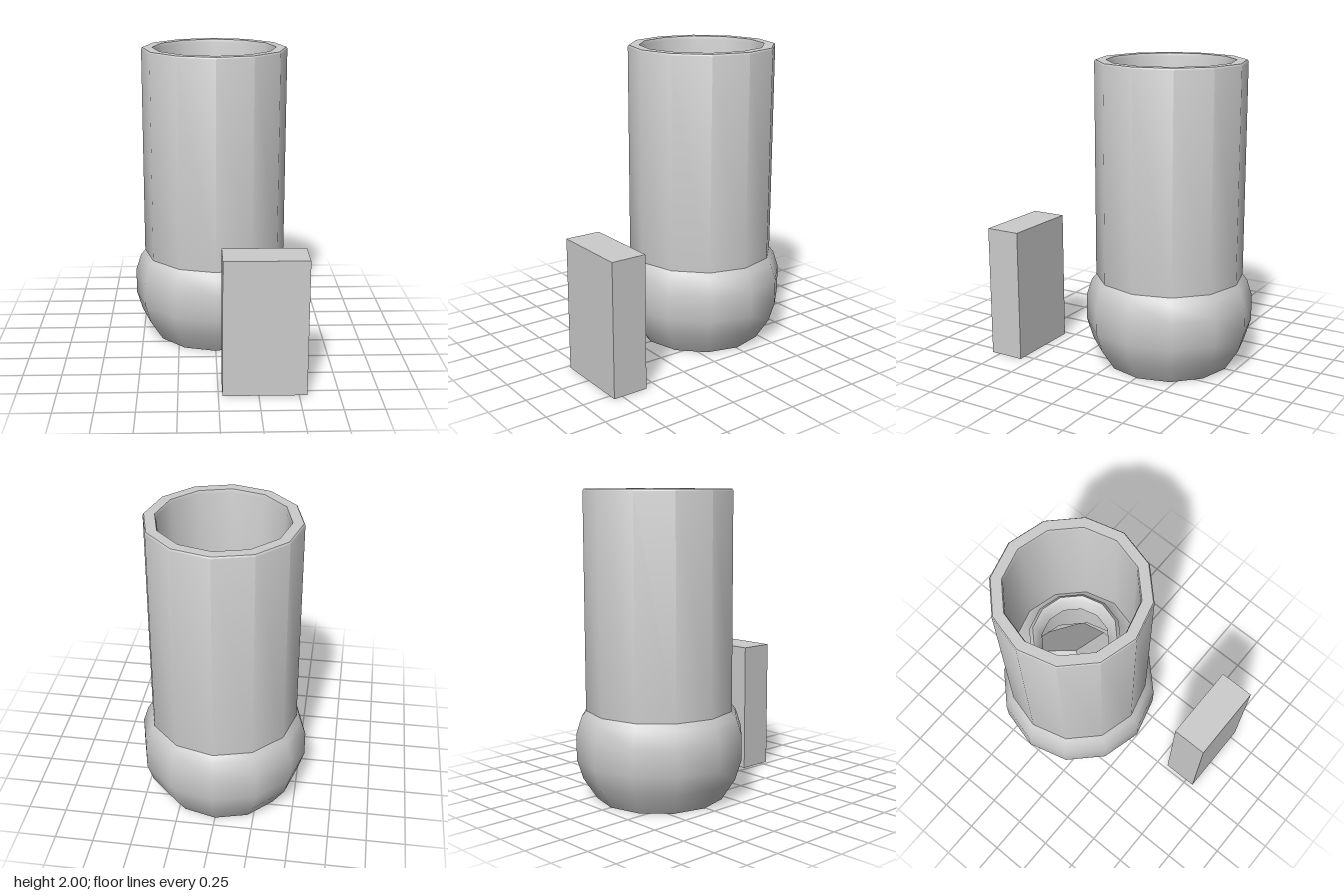
import * as THREE from 'three';
import { toCreasedNormals } from 'three/addons/utils/BufferGeometryUtils.js';

const SIDES = 12;

export function createModel() {
  const model = new THREE.Group();
  const grey = new THREE.MeshStandardMaterial({ color: 0xcccccc });
  const facet = new THREE.MeshStandardMaterial({ color: 0xcccccc, flatShading: true });

  const add = (parent, name, geometry, material = grey) => {
    const mesh = new THREE.Mesh(geometry, material);
    mesh.name = name;
    parent.add(mesh);
    return mesh;
  };
  // Twelve-sided turned part, smooth around, sharp at strong profile corners
  const turned = (profile) => toCreasedNormals(
    new THREE.LatheGeometry(profile.map(([r, y]) => new THREE.Vector2(r, y)), SIDES), 0.65);

  const vessel = new THREE.Group();
  vessel.name = 'vessel';
  vessel.position.z = -0.26;
  model.add(vessel);

  // Bulbous bottle: flat foot, bulb, body, shoulder, lip and hollow inside
  add(vessel, 'bottle', turned([
    [0, 0], [0.42, 0], [0.51, 0.14], [0.55, 0.27], [0.55, 0.44], [0.515, 0.55], [0.482, 0.59],
    [0.482, 1.1], [0.4, 1.12], [0.33, 1.18], [0.27, 1.24], [0.3, 1.27], [0.3, 1.3], [0.275, 1.33],
    [0.25, 1.31], [0.22, 1.24], [0.29, 1.14], [0.42, 1.06], [0.43, 0.59],
    [0.5, 0.44], [0.5, 0.27], [0.46, 0.15], [0.38, 0.04], [0, 0.04],
  ]));

  // Open sleeve around the bottle
  add(vessel, 'sleeve', turned([
    [0.4, 0.59], [0.485, 0.59], [0.485, 1.99], [0.478, 2], [0.412, 2], [0.405, 1.98], [0.4, 0.59],
  ]));

  // Faceted stone lying in the bulb, one corner upward
  const stone = new THREE.DodecahedronGeometry(0.42);
  stone.applyQuaternion(new THREE.Quaternion().setFromUnitVectors(
    new THREE.Vector3(1, 1, 1).normalize(), new THREE.Vector3(0.1, 1, -0.1).normalize()));
  add(vessel, 'stone', stone, facet).position.y = 0.48;

  // Separate upright block
  add(model, 'block', new THREE.BoxGeometry(0.525, 0.88, 0.235)).position.set(0.288, 0.44, 0.692);

  return model;
}
